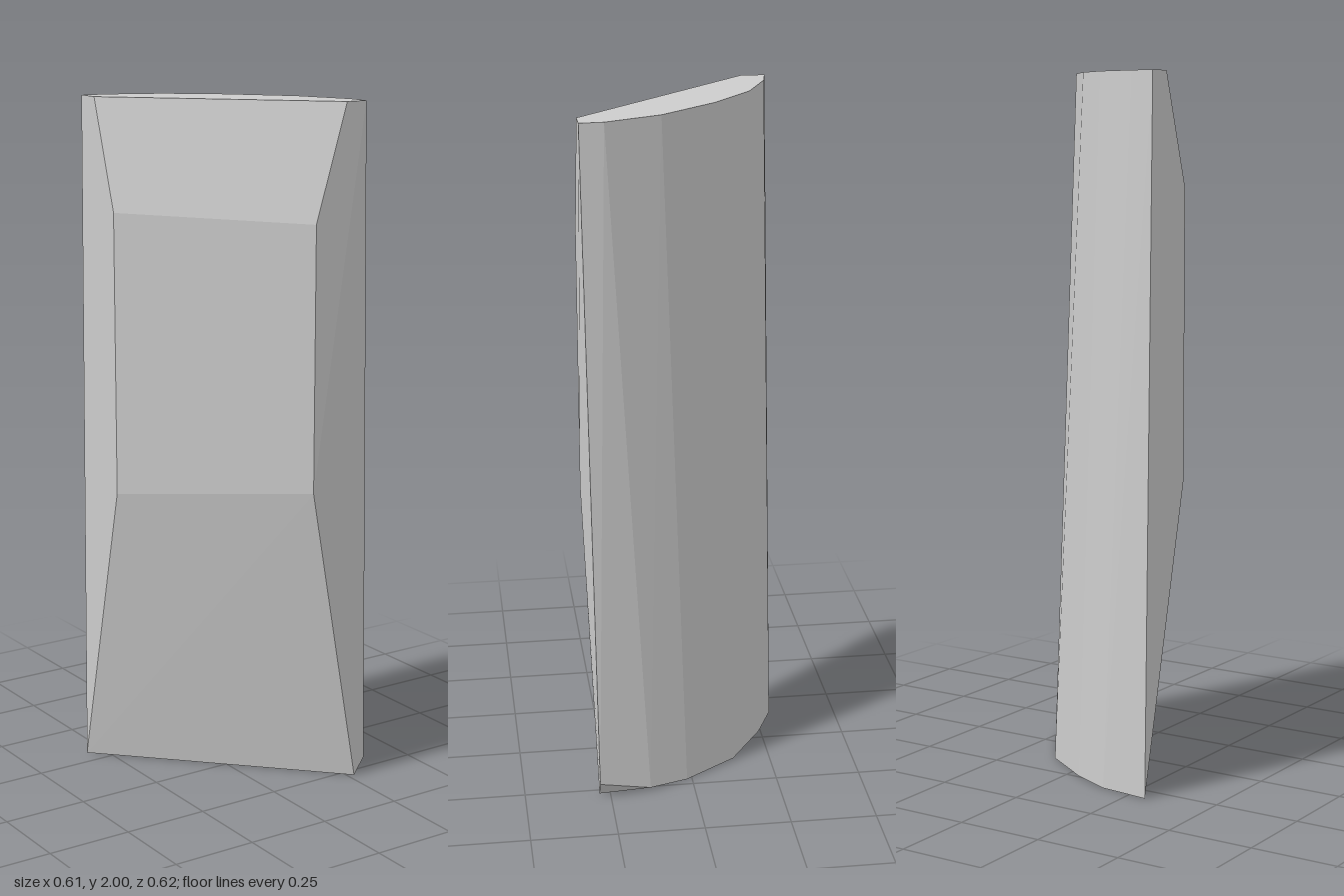
import * as THREE from 'three';
import { ConvexGeometry } from 'three/addons/geometries/ConvexGeometry.js';

export function createModel() {
  const paleGrey = new THREE.MeshStandardMaterial({ color: 0xcccccc });
  paleGrey.name = 'paleGrey';

  const ring = (y, pairs) => pairs.map(([x, z]) => new THREE.Vector3(x, y, z));

  const corners = [
    // top outline: curved outer side, then the straight inner chord
    ...ring(2, [
      [-0.305, -0.28], [-0.228, -0.265], [-0.085, -0.2], [0.05, -0.083],
      [0.184, 0.08], [0.252, 0.24], [0.256, 0.308], [0.19, 0.308], [-0.305, -0.21],
    ]),
    // flat inner face, between the upper and lower bevels
    new THREE.Vector3(-0.305, 1.685, -0.112),
    new THREE.Vector3(0.09, 1.67, 0.308),
    new THREE.Vector3(0.09, 0.905, 0.308),
    new THREE.Vector3(-0.305, 0.87, -0.112),
    // bottom outline, slightly wider, with one clipped corner
    ...ring(0, [
      [-0.305, -0.312], [-0.155, -0.297], [-0.04, -0.245], [0.117, -0.14],
      [0.222, 0.015], [0.27, 0.282],
    ]),
    new THREE.Vector3(0.273, 0.01, 0.13),
    new THREE.Vector3(0.304, 0.05, 0.282),
  ];

  // faceted curved slab
  const slab = new THREE.Mesh(new ConvexGeometry(corners), paleGrey);
  slab.name = 'curvedSlab';

  const model = new THREE.Group();
  model.name = 'stoneSlab';
  model.add(slab);
  return model;
}
